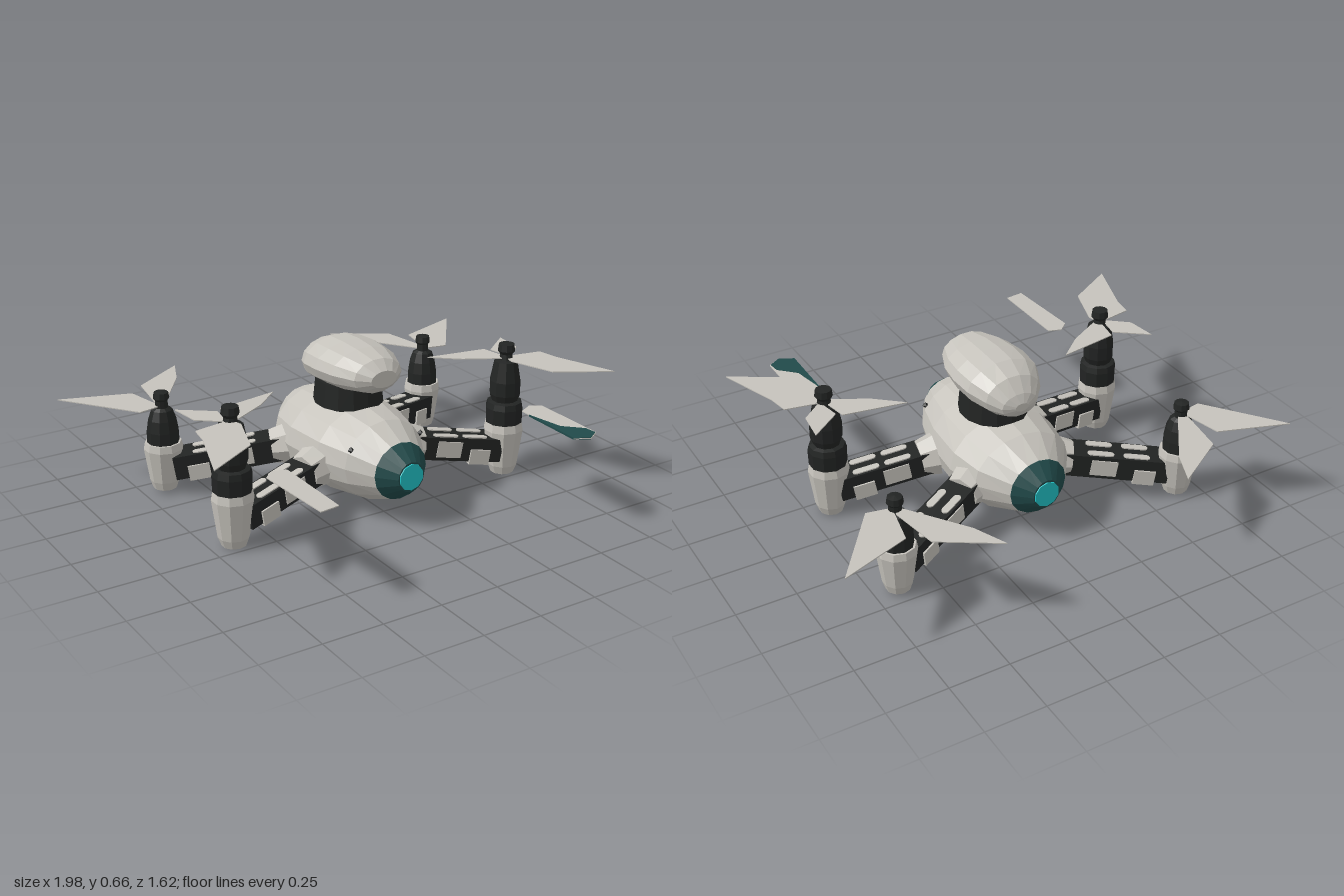
import * as THREE from 'three';

const mat = (name, color) => {
  const m = new THREE.MeshStandardMaterial({ color });
  m.name = name;
  return m;
};

export function createModel() {
  const shell = mat('shellGrey', 0xc6c3bc);
  const black = mat('frameBlack', 0x222423);
  const teal = mat('darkTeal', 0x214a4a);
  const cyan = mat('lensCyan', 0x22c4c8);
  const model = new THREE.Group();
  model.name = 'drone';

  // faceted mesh helper
  const add = (parent, name, geometry, material, x = 0, y = 0, z = 0) => {
    const g = geometry.index ? geometry.toNonIndexed() : geometry;
    g.computeVertexNormals();
    const mesh = new THREE.Mesh(g, material);
    mesh.name = name;
    mesh.position.set(x, y, z);
    parent.add(mesh);
    return mesh;
  };

  // closed skin through elliptical sections [z, halfWidth, top, bottom], front to back
  const loft = (sections, sides = 14, floor = -1) => {
    const pos = [], idx = [];
    sections.forEach(([z, w, top, bottom]) => {
      for (let j = 0; j < sides; j++) {
        const a = (j / sides) * Math.PI * 2;
        const y = (top + bottom) / 2 + Math.sin(a) * (top - bottom) / 2;
        pos.push(Math.cos(a) * w, Math.max(y, floor), z);
      }
    });
    const last = sections.length - 1;
    for (let j = 0; j < sides; j++) {
      const k = (j + 1) % sides;
      for (let i = 0; i < last; i++) {
        const a = i * sides, b = a + sides;
        idx.push(a + j, b + j, a + k, b + j, b + k, a + k);
      }
      if (j > 0 && k > 0) idx.push(0, j, k, last * sides, last * sides + k, last * sides + j);
    }
    const g = new THREE.BufferGeometry();
    g.setAttribute('position', new THREE.Float32BufferAttribute(pos, 3));
    g.setIndex(idx);
    return g;
  };

  // thin horizontal plate from [x, z] outline points
  const plate = (points, side = 1, depth = 0.004) => {
    const shape = new THREE.Shape(points.map(([x, z]) => new THREE.Vector2(x * side, -z)));
    return new THREE.ExtrudeGeometry(shape, { depth, bevelEnabled: false }).rotateX(-Math.PI / 2);
  };

  const lathe = (profile, sides = 10) =>
    new THREE.LatheGeometry(profile.map(([r, y]) => new THREE.Vector2(r, y)), sides);

  // hull with teal ends and glowing lenses
  const hull = [
    [0.365, 0.122, 0.345, 0.103], [0.25, 0.187, 0.4, 0.06], [0.1, 0.23, 0.417, 0.035],
    [-0.1, 0.246, 0.417, 0.035], [-0.25, 0.218, 0.398, 0.055], [-0.375, 0.128, 0.345, 0.103],
  ];
  add(model, 'hull', loft(hull, 16, 0.045), shell);
  const tip = (z) => [z, 0.06, 0.288, 0.162];
  add(model, 'frontCone', loft([tip(0.44), hull[0]], 16), teal);
  add(model, 'rearCone', loft([hull[5], tip(-0.44)], 16), teal);
  for (const s of [1, -1]) {
    const lens = new THREE.CylinderGeometry(0.055, 0.058, 0.012, 10).rotateX(s * Math.PI / 2);
    add(model, s > 0 ? 'frontLens' : 'rearLens', lens, cyan, 0, 0.225, s * 0.438);
  }

  // upper pod on its neck
  const neck = new THREE.CylinderGeometry(0.13, 0.14, 0.1, 14).scale(1, 1, 1.1);
  add(model, 'neck', neck, black, 0, 0.45, -0.02);
  add(model, 'upperPod', loft([
    [0.245, 0.06, 0.605, 0.535], [0.2, 0.112, 0.643, 0.5], [0.1, 0.155, 0.66, 0.483],
    [0, 0.17, 0.665, 0.475], [-0.1, 0.163, 0.66, 0.467], [-0.18, 0.125, 0.63, 0.46],
    [-0.23, 0.08, 0.575, 0.475], [-0.248, 0.03, 0.54, 0.505],
  ]), shell);

  // arm running along its own +x from the hull to a rotor pod
  const addArm = (name, from, to) => {
    const d = to.clone().sub(from), length = d.length();
    const arm = new THREE.Group();
    arm.name = name;
    arm.position.copy(from);
    arm.rotation.set(0, Math.atan2(-d.z, d.x), Math.asin(d.y / length), 'YZX');
    model.add(arm);
    add(arm, 'beam', new THREE.BoxGeometry(length, 0.1, 0.125), black, length / 2);
    const collar = new THREE.CylinderGeometry(0.075, 0.09, 0.07, 8).rotateZ(-Math.PI / 2);
    add(arm, 'collar', collar, shell, 0.03);
    const bracket = new THREE.BoxGeometry(0.09, 0.065, 0.14);
    add(arm, 'bracket', bracket, shell, length - 0.1, -0.028);
    const pill = new THREE.Shape();
    pill.absarc(0.04, 0, 0.016, -Math.PI / 2, Math.PI / 2);
    pill.absarc(-0.04, 0, 0.016, Math.PI / 2, Math.PI * 1.5);
    const pillGeometry = new THREE.ExtrudeGeometry(pill, { depth: 0.006, bevelEnabled: false, curveSegments: 4 })
      .rotateX(-Math.PI / 2);
    for (const s of [1, -1]) {
      for (const t of [0.38, 0.7]) add(arm, 'topPanel', pillGeometry, shell, length * t, 0.049, s * 0.036);
      add(arm, 'sidePanel', new THREE.BoxGeometry(0.11, 0.07, 0.008), shell, length * 0.42, 0, s * 0.063);
    }
  };

  // one rotor per corner: pod, motor profile and blades in plan
  const rotors = [
    {
      name: 'front', z: 0.185, armStart: [0.22, 0.19, 0.08], armEnd: [0.62, 0.12, 0.18], bladeY: 0.517,
      pod: [[0, 0], [0.05, 0.003], [0.064, 0.04], [0.085, 0.2], [0.078, 0.235], [0, 0.235]],
      motor: [[0.078, 0.225], [0.08, 0.3], [0.074, 0.325], [0.055, 0.33], [0.066, 0.36], [0.066, 0.42],
        [0.05, 0.505], [0.03, 0.51], [0.026, 0.535], [0.037, 0.55], [0.033, 0.578], [0, 0.58]],
      blades: [
        [[0.915, 0.56], [0.7, 0.43], [0.635, 0.24], [0.65, 0.18], [0.81, 0.21], [0.825, 0.3]],
        [[0.78, -0.02], [0.765, 0.11], [0.67, 0.19], [0.65, 0.08]],
        [[0.37, 0.015], [0.48, 0.11], [0.64, 0.2], [0.65, 0.17], [0.63, 0.06]],
      ],
    },
    {
      name: 'rear', z: -0.42, armStart: [0.2, 0.19, -0.185], armEnd: [0.62, 0.12, -0.39], bladeY: 0.376,
      pod: [[0, 0.01], [0.05, 0.013], [0.062, 0.05], [0.082, 0.19], [0.076, 0.22], [0, 0.22]],
      motor: [[0.068, 0.21], [0.066, 0.27], [0.058, 0.32], [0.044, 0.36], [0.027, 0.37],
        [0.026, 0.4], [0.034, 0.41], [0.03, 0.435], [0, 0.44]],
      blades: [
        [[0.4, -0.81], [0.46, -0.67], [0.63, -0.43], [0.665, -0.45], [0.63, -0.665]],
        [[0.99, -0.7], [0.76, -0.39], [0.66, -0.41], [0.7, -0.6]],
      ],
    },
  ];
  const looseBlade = [[0.54, 0.44], [0.6, 0.41], [0.645, 0.44], [0.645, 0.77], [0.59, 0.805], [0.53, 0.77]];

  for (const side of [1, -1]) {
    const label = side > 0 ? 'Left' : 'Right';
    for (const r of rotors) {
      const [ax, ay, az] = r.armStart, [bx, by, bz] = r.armEnd;
      addArm(r.name + label + 'Arm', new THREE.Vector3(ax * side, ay, az), new THREE.Vector3(bx * side, by, bz));
      const rotor = new THREE.Group();
      rotor.name = r.name + label + 'Rotor';
      model.add(rotor);
      add(rotor, 'pod', lathe(r.pod), shell, side * 0.652, 0, r.z);
      add(rotor, 'motor', lathe(r.motor), black, side * 0.652, 0, r.z);
      r.blades.forEach((b) => add(rotor, 'blade', plate(b, side), shell, 0, r.bladeY));
    }
    // forward blades set apart from the hubs
    const outline = side > 0 ? looseBlade
      : [[0.65, 0.45], [0.605, 0.41], [0.55, 0.43], [0.55, 0.79], [0.63, 0.8]];
    add(model, 'forward' + label + 'Blade', plate(outline, side), shell, 0, 0.383);
    // small vent on the shoulder of the hull
    add(model, 'vent' + label, new THREE.OctahedronGeometry(0.014), black, side * 0.165, 0.312, 0.26);
  }

  // dark tip on the left forward blade
  const darkTip = [[0.535, 0.49], [0.565, 0.65], [0.635, 0.72], [0.64, 0.77], [0.589, 0.803], [0.53, 0.77]];
  add(model, 'bladeTip', plate(darkTip, 1, 0.008), teal, 0, 0.381);

  return model;
}
